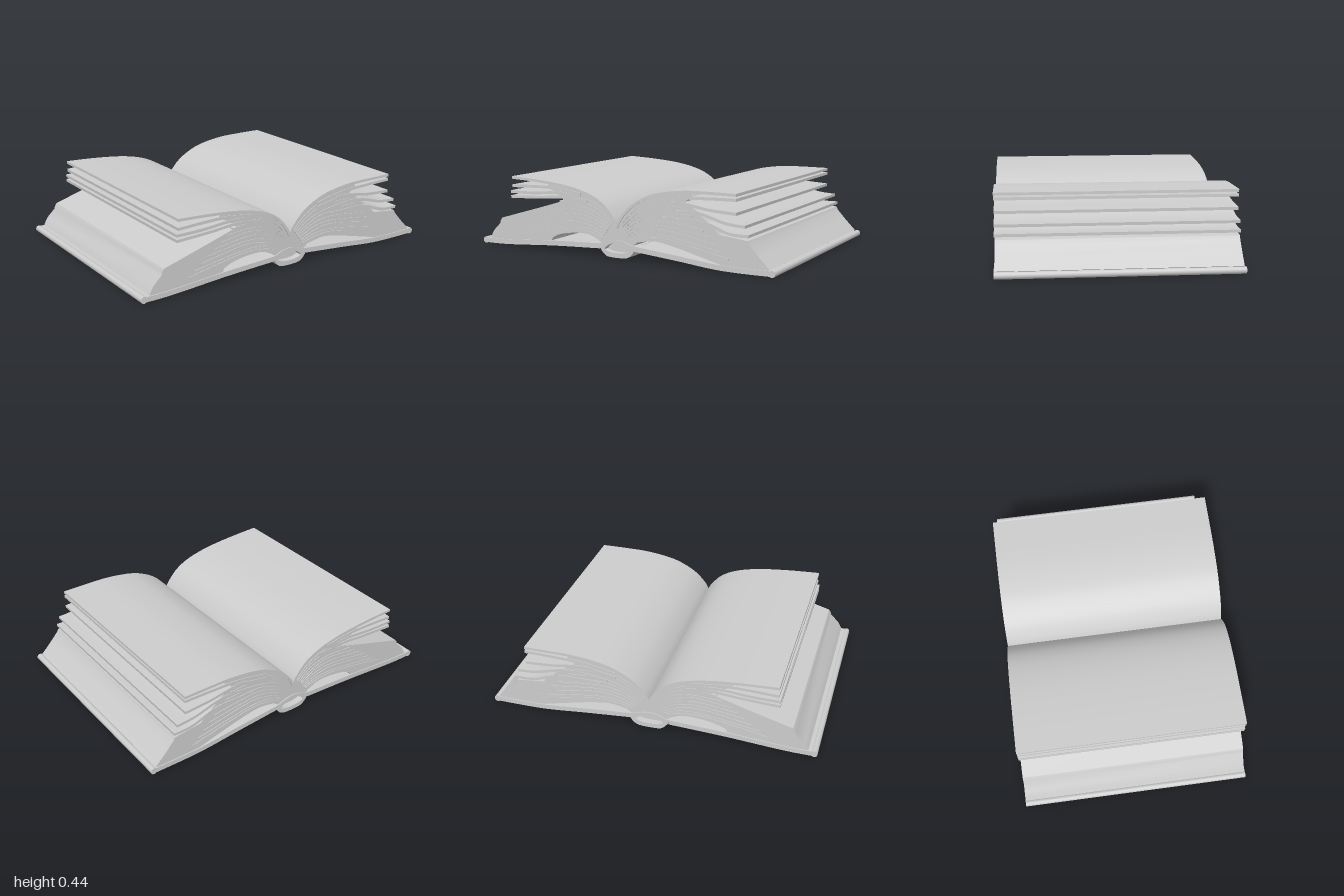
import * as THREE from 'three';
import { toCreasedNormals } from 'three/addons/utils/BufferGeometryUtils.js';

const DEPTH = 1.38;
const v = ([x, y]) => new THREE.Vector2(x, y);
const smooth = (pts, n = 24) => new THREE.SplineCurve(pts.map(v)).getPoints(n);

// Sweeps a cross-section (x, y) along z, centred
function sweep(name, outline, material, depth = DEPTH, hole) {
  const shape = new THREE.Shape(outline);
  if (hole) shape.holes.push(new THREE.Path(hole));
  const geo = new THREE.ExtrudeGeometry(shape, { depth, bevelEnabled: false });
  geo.translate(0, 0, -depth / 2);
  const mesh = new THREE.Mesh(toCreasedNormals(geo, 0.55), material);
  mesh.name = name;
  return mesh;
}

// Outline of a sheet of given thickness following a curved centre line
function ribbon(pts, thick, n = 24) {
  const curve = new THREE.SplineCurve(pts.map(v));
  const a = [], b = [];
  for (let i = 0; i <= n; i++) {
    const p = curve.getPoint(i / n), t = curve.getTangent(i / n);
    const off = new THREE.Vector2(-t.y, t.x).multiplyScalar(thick / 2);
    a.push(p.clone().add(off));
    b.unshift(p.clone().sub(off));
  }
  return [...a, ...b];
}

// Cross-sections of each half of the book
const halves = {
  right: {
    side: -1,
    top: [[0, 0.185], [-0.03, 0.242], [-0.1, 0.315], [-0.2, 0.365], [-0.35, 0.4], [-0.55, 0.42], [-0.76, 0.43]],
    sheets: [
      [[-0.25, 0.36], [-0.45, 0.385], [-0.6, 0.385], [-0.76, 0.378]],
      [[-0.25, 0.345], [-0.42, 0.358], [-0.6, 0.345], [-0.77, 0.342]],
      [[-0.2, 0.32], [-0.38, 0.335], [-0.55, 0.322], [-0.77, 0.311]],
    ],
    blockEdge: [[-0.5, 0.395], [-0.42, 0.35], [-0.37, 0.315], [-0.55, 0.26], [-0.85, 0.172], [-0.862, 0.155],
      [-0.868, 0.135], [-0.92, 0.085], [-0.945, 0.04], [-0.9, 0.025], [-0.47, 0.065]],
    under: [[-0.46, 0.085], [-0.4, 0.11], [-0.3, 0.127], [-0.2, 0.127], [-0.13, 0.1]],
    cover: [[-0.12, 0.066], [-0.45, 0.05], [-0.8, 0.025], [-0.98, 0.021]],
    fan: [[[-0.03, 0.21], [-0.12, 0.295], [-0.24, 0.34], [-0.36, 0.34]],
      [[-0.1, 0.115], [-0.2, 0.14], [-0.35, 0.14], [-0.7, 0.08]]],
  },
  left: {
    side: 1,
    top: [[0, 0.185], [0.03, 0.242], [0.1, 0.315], [0.2, 0.372], [0.3, 0.403], [0.45, 0.424], [0.6, 0.428], [0.765, 0.428]],
    sheets: [
      [[0.2, 0.345], [0.4, 0.385], [0.6, 0.397], [0.765, 0.401]],
      [[0.2, 0.32], [0.42, 0.355], [0.6, 0.335], [0.765, 0.325]],
      [[0.25, 0.29], [0.5, 0.315], [0.7, 0.27], [0.82, 0.26]],
      [[0.3, 0.26], [0.55, 0.265], [0.72, 0.215], [0.84, 0.21]],
    ],
    blockEdge: [[0.5, 0.4], [0.45, 0.37], [0.52, 0.325], [0.56, 0.29], [0.63, 0.24], [0.66, 0.205], [0.835, 0.185],
      [0.845, 0.165], [0.9, 0.105], [0.965, 0.04], [0.93, 0.02], [0.7, 0.025]],
    under: [[0.68, 0.035], [0.5, 0.08], [0.36, 0.112], [0.25, 0.127], [0.14, 0.11]],
    cover: [[0.12, 0.07], [0.4, 0.046], [0.68, 0.021], [0.98, 0.021]],
    fan: [[[0.03, 0.21], [0.12, 0.295], [0.25, 0.35], [0.42, 0.365]],
      [[0.1, 0.115], [0.2, 0.14], [0.35, 0.14], [0.72, 0.07]]],
  },
};

function makeHalf(name, h, material) {
  const half = new THREE.Group();
  half.name = name + 'Half';

  // Solid page block, with its top just below the open page
  const topCurve = smooth(h.top, 40).filter(p => Math.abs(p.x) < 0.5);
  topCurve.forEach(p => { p.y -= 0.006; });
  const outline = [...topCurve, ...h.blockEdge.map(v), ...smooth(h.under, 16), v([h.side * 0.1, 0.08]), v([0, 0.09])];
  half.add(sweep(name + 'PageBlock', outline, material, DEPTH - 0.012));

  // Open page and the loose sheets beneath it
  half.add(sweep(name + 'OpenPage', ribbon(h.top, 0.016, 40), material));
  h.sheets.forEach((s, i) => half.add(sweep(name + 'LooseSheet' + (i + 1), ribbon(s, 0.017), material, DEPTH - 0.003)));

  // Fanned page edges standing slightly proud at both ends
  const [upper, lower] = h.fan, count = 9;
  for (let i = 0; i < count; i++) {
    const t = i / (count - 1);
    const pts = upper.map((p, k) => [
      p[0] + (lower[k][0] - p[0]) * t,
      p[1] + (lower[k][1] - p[1]) * t + (k === 2 ? 0.004 * Math.sin(i * 2.4) : 0),
    ]);
    half.add(sweep(name + 'PageEdge' + (i + 1), ribbon(pts, 0.009 + 0.003 * Math.sin(i * 1.7)), material, DEPTH - 0.004));
  }

  // Cover board with a rounded outer rim
  half.add(sweep(name + 'Cover', ribbon(h.cover, 0.03), material));
  const rim = new THREE.Mesh(new THREE.CylinderGeometry(0.02, 0.02, DEPTH, 20), material);
  rim.rotation.x = Math.PI / 2;
  rim.position.set(h.side * 0.98, 0.021, 0);
  rim.name = name + 'CoverRim';
  half.add(rim);
  return half;
}

export function createModel() {
  const paper = new THREE.MeshStandardMaterial({ color: 0xcccccc });
  paper.name = 'light grey';
  const book = new THREE.Group();
  book.name = 'openBook';
  for (const [name, h] of Object.entries(halves)) book.add(makeHalf(name, h, paper));

  // Hollow curved spine
  const spine = [
    ...smooth([[-0.13, 0.08], [-0.11, 0.05], [-0.085, 0.022], [-0.05, 0.008], [0.05, 0.008], [0.09, 0.022], [0.115, 0.05], [0.13, 0.085]], 32),
    ...smooth([[0.1, 0.088], [0.05, 0.105], [0, 0.112], [-0.05, 0.105], [-0.1, 0.085]], 16),
  ];
  const hollow = [
    ...smooth([[-0.085, 0.05], [-0.04, 0.036], [0.04, 0.036], [0.085, 0.05]], 12),
    ...smooth([[0.075, 0.065], [0.04, 0.086], [0, 0.092], [-0.04, 0.086], [-0.075, 0.065]], 16),
  ];
  book.add(sweep('spine', spine, paper, DEPTH, hollow));

  // Inner backing set inside the hollow spine
  const backing = sweep('spineLining', hollow, paper, DEPTH - 0.08);
  book.add(backing);
  return book;
}
